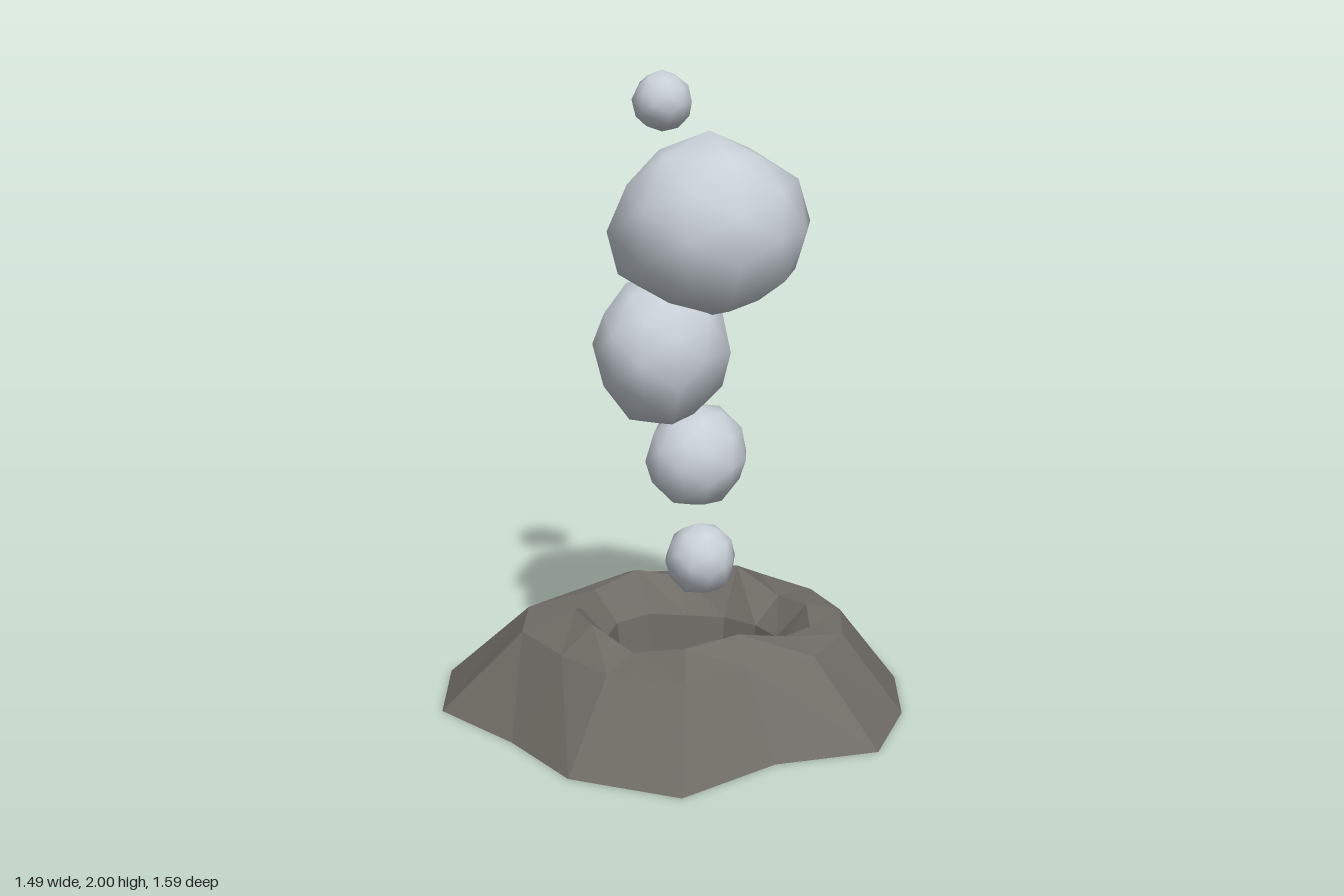
import * as THREE from 'three';
import { mergeVertices } from 'three/addons/utils/BufferGeometryUtils.js';

// Rings of the vent, clockwise from the back: [x, z] or [x, z, y]
const foot = [[0.225, -0.795], [0.505, -0.6], [0.67, -0.325], [0.745, -0.025], [0.73, 0.305],
  [0.447, 0.477], [0.237, 0.79], [-0.125, 0.735], [-0.37, 0.51], [-0.66, 0.317],
  [-0.745, -0.025], [-0.565, -0.335], [-0.405, -0.598], [-0.1, -0.68]];
const shoulder = [[0.165, -0.54], [0.37, -0.42], [0.5, -0.25], [0.553, -0.025], [0.506, 0.19],
  [0.325, 0.33], [0.18, 0.53], [-0.07, 0.5], [-0.25, 0.37], [-0.43, 0.2],
  [-0.477, -0.025], [-0.375, -0.22], [-0.26, -0.435], [-0.07, -0.5]];
const rim = [[0.13, -0.38, 0.32], [0.285, -0.315, 0.25], [0.4, -0.2, 0.27], [0.447, -0.025, 0.26],
  [0.4, 0.13, 0.28], [0.28, 0.25, 0.318], [0.14, 0.363, 0.3], [-0.03, 0.345, 0.265],
  [-0.18, 0.26, 0.31], [-0.275, 0.13, 0.31], [-0.3, -0.025, 0.255], [-0.305, -0.197, 0.26],
  [-0.2, -0.34, 0.29], [-0.04, -0.365, 0.27]];

// Rim outline shrunk towards the crater centre
const shrink = (s, y) => rim.map(([x, z]) => [0.05 + (x - 0.05) * s, z * s, y]);

function ventGeometry() {
  // outer slope, rim, throat, pit, then back out along the underside
  const rings = [foot, shoulder.map(([x, z]) => [x, z, 0.245]), rim, shrink(0.75, 0.17), shrink(0.68, 0), foot];
  const n = foot.length, positions = [], index = [];
  rings.forEach((ring) => ring.forEach(([x, z, y = 0]) => positions.push(x, y, z)));
  for (let r = 0; r < rings.length - 1; r++) {
    for (let i = 0; i < n; i++) {
      const j = (i + 1) % n;
      const a = r * n + i, b = r * n + j, c = a + n, d = b + n;
      index.push(a, c, d, a, d, b);
    }
  }
  const geometry = new THREE.BufferGeometry();
  geometry.setAttribute('position', new THREE.Float32BufferAttribute(positions, 3));
  geometry.setIndex(index);
  geometry.computeVertexNormals();
  return geometry;
}

function seeded(seed) {
  return () => {
    seed = (seed * 16807) % 2147483647;
    return seed / 2147483647;
  };
}

// Lumpy low-poly ball, round normals, fitted to the box min..max
function puffGeometry(min, max, seed) {
  const random = seeded(seed);
  const ball = new THREE.IcosahedronGeometry(1, 1);
  ball.deleteAttribute('uv');
  const geometry = mergeVertices(ball);
  const p = geometry.attributes.position;
  const v = new THREE.Vector3();
  for (let i = 0; i < p.count; i++) {
    v.fromBufferAttribute(p, i).multiplyScalar(0.94 + 0.12 * random());
    p.setXYZ(i, v.x, v.y, v.z);
  }
  geometry.computeBoundingBox();
  const box = geometry.boundingBox;
  const size = box.getSize(new THREE.Vector3());
  for (let i = 0; i < p.count; i++) {
    v.fromBufferAttribute(p, i).sub(box.min).divide(size);
    p.setXYZ(i, ...['x', 'y', 'z'].map((k, a) => min[a] + v[k] * (max[a] - min[a])));
  }
  return geometry;
}

export function createModel() {
  const model = new THREE.Group();
  model.name = 'smokingVent';
  const rock = new THREE.MeshStandardMaterial({ color: 0x6f6b65, flatShading: true });
  const ember = new THREE.MeshStandardMaterial({ color: 0x2e2424, side: THREE.DoubleSide });
  const smoke = new THREE.MeshStandardMaterial({ color: 0xc9d1d8 });

  const add = (name, geometry, material) => {
    const mesh = new THREE.Mesh(geometry, material);
    mesh.name = name;
    model.add(mesh);
    return mesh;
  };

  add('ventMound', ventGeometry(), rock);

  // Dark crater floor
  const floor = add('craterFloor', new THREE.CircleGeometry(0.28, 14), ember);
  floor.rotation.x = -Math.PI / 2;
  floor.position.set(0.04, 0.003, 0);

  // Rising smoke puffs, lowest first
  [
    [[-0.04, 0.32, -0.21], [0.18, 0.55, 0.01]],
    [[-0.08, 0.63, -0.23], [0.235, 0.955, 0.145]],
    [[-0.235, 0.915, -0.16], [0.205, 1.39, 0.285]],
    [[-0.165, 1.27, -0.22], [0.44, 1.84, 0.335]],
    [[-0.135, 1.81, -0.145], [0.055, 2, 0.04]],
  ].forEach(([min, max], i) => add(`smokePuff${i + 1}`, puffGeometry(min, max, 101 + i * 37), smoke));

  return model;
}
